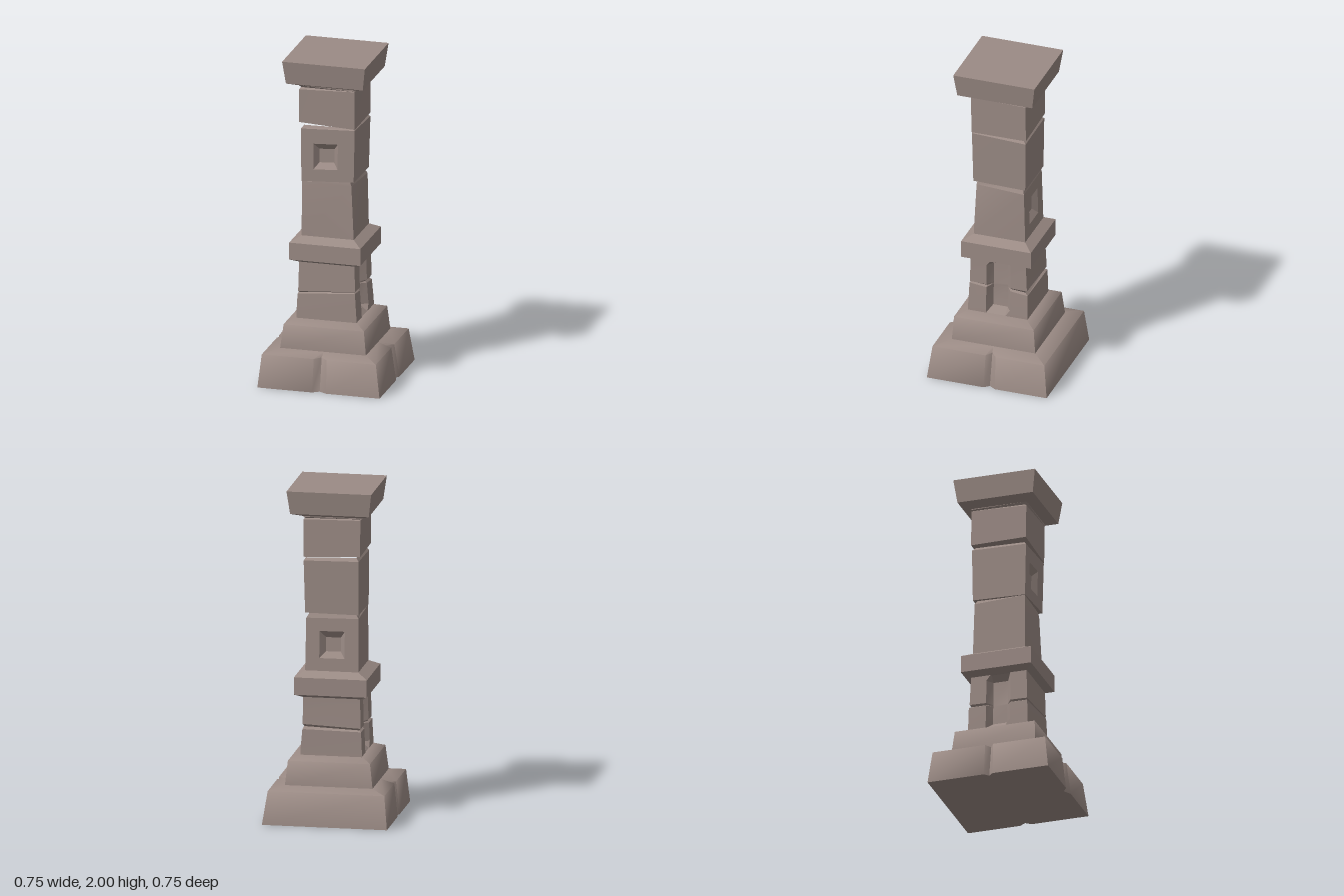
import * as THREE from 'three';
import { toCreasedNormals } from 'three/addons/utils/BufferGeometryUtils.js';

const stone = new THREE.MeshStandardMaterial({ color: 0x9b8b85 });

// Rectangular ring [x0, x1, z0, z1]; y is one height or four (FL, FR, BR, BL)
function rect([x0, x1, z0, z1], y) {
  const h = Array.isArray(y) ? y : [y, y, y, y];
  return [[x0, h[0], z1], [x1, h[1], z1], [x1, h[2], z0], [x0, h[3], z0]];
}

const mix = (a, b, t) => a.map((v, i) => v + (b[i] - v) * t);

// Skins a stack of rings; panels are sunken frames cut into chosen quads
function loft(name, rings, { bottom = false, top = false, panels = [], crease = 0.3 } = {}) {
  const pos = [];
  const tri = (...p) => p.forEach(v => pos.push(...v));
  const quad = (a, b, c, d) => { tri(a, b, c); tri(a, c, d); };
  const band = (o, i) => o.forEach((p, k) => {
    const n = (k + 1) % o.length;
    quad(p, o[n], i[n], i[k]);
  });
  const cap = (ring, up) => {
    const y = ring.reduce((s, p) => s + p[1], 0) / ring.length;
    ring.forEach((p, k) => {
      const q = ring[(k + 1) % ring.length];
      if (up) tri(p, q, [0, y, 0]); else tri(q, p, [0, y, 0]);
    });
  };
  for (let l = 0; l < rings.length - 1; l++) {
    const lo = rings[l], hi = rings[l + 1], n = lo.length;
    for (let k = 0; k < n; k++) {
      const m = (k + 1) % n;
      const panel = panels.find(p => p.level === l && p.side === k);
      if (!panel) { quad(lo[k], lo[m], hi[m], hi[k]); continue; }
      const at = (u, v) => mix(mix(lo[k], lo[m], u), mix(hi[k], hi[m], u), v);
      const square = ([u0, u1, v0, v1]) => [at(u0, v0), at(u1, v0), at(u1, v1), at(u0, v1)];
      const rim = square(panel.outer);
      const floor = square(panel.inner).map(([x, y, z]) => [x, y, z - Math.sign(z) * panel.depth]);
      band([lo[k], lo[m], hi[m], hi[k]], rim);
      band(rim, floor);
      quad(...floor);
    }
  }
  if (bottom) cap(rings[0], false);
  if (top) cap(rings[rings.length - 1], true);
  const g = new THREE.BufferGeometry();
  g.setAttribute('position', new THREE.Float32BufferAttribute(pos, 3));
  const mesh = new THREE.Mesh(toCreasedNormals(g, crease), stone);
  mesh.name = name;
  return mesh;
}

// Plinth outline with a V notch in the front, left and right sides
function plinthRing(y, [x0, x1, z0, z1], w, d) {
  return [
    [x0, y, z1], [-0.04 * w, y, z1], [0, y, z1 - d], [0.047 * w, y, z1],
    [x1, y, z1], [x1, y, 0.02 * w], [x1 - d, y, -0.01 * w], [x1, y, -0.05 * w],
    [x1, y, z0], [x0, y, z0],
    [x0, y, -0.025 * w], [x0 + d, y, 0], [x0, y, 0.03 * w],
  ];
}

// Pedestal outline with a bevelled upright slot in both sides
function slotRing([x0, x1, z0, z1], y, d) {
  const [fl, fr, br, bl] = Array.isArray(y) ? y : [y, y, y, y];
  const r = (fr + br) / 2, l = (fl + bl) / 2;
  return [
    [x0, fl, z1], [x1, fr, z1],
    [x1, r, 0.075], [x1 - d, r, 0.045], [x1 - d, r, -0.045], [x1, r, -0.075],
    [x1, br, z0], [x0, bl, z0],
    [x0, l, -0.075], [x0 + d, l, -0.045], [x0 + d, l, 0.045], [x0, l, 0.075],
  ];
}

export function createModel() {
  const pillar = new THREE.Group();
  pillar.name = 'stonePillar';

  // Notched plinth
  pillar.add(loft('plinth', [
    plinthRing(0, [-0.375, 0.375, -0.375, 0.375], 1, 0.028),
    plinthRing(0.2, [-0.355, 0.345, -0.35, 0.35], 0.9, 0.045),
    plinthRing(0.22, [-0.268, 0.258, -0.262, 0.26], 0, 0),
  ], { bottom: true, crease: 1.25 }));

  // Second step
  pillar.add(loft('step', [
    rect([-0.268, 0.258, -0.262, 0.26], 0.22),
    rect([-0.25, 0.243, -0.247, 0.25], 0.365),
    rect([-0.19, 0.18, -0.18, 0.185], 0.392),
  ], { top: true, crease: 1.25 }));

  // Pedestal: two cracked courses with side slots
  pillar.add(loft('pedestal', [
    slotRing([-0.19, 0.18, -0.185, 0.187], 0.39, 0),
    slotRing([-0.189, 0.178, -0.184, 0.186], 0.43, 0.045),
    slotRing([-0.184, 0.168, -0.182, 0.181], [0.54, 0.57, 0.545, 0.54], 0.045),
    slotRing([-0.172, 0.157, -0.166, 0.17], [0.547, 0.575, 0.56, 0.548], 0.033),
    slotRing([-0.181, 0.168, -0.178, 0.179], [0.555, 0.58, 0.575, 0.56], 0.045),
    slotRing([-0.177, 0.165, -0.172, 0.176], 0.705, 0.045),
    slotRing([-0.176, 0.165, -0.172, 0.175], 0.745, 0),
  ]));

  // Collar band
  pillar.add(loft('collar', [
    rect([-0.176, 0.165, -0.172, 0.175], 0.738),
    rect([-0.225, 0.212, -0.218, 0.218], 0.76),
    rect([-0.225, 0.212, -0.218, 0.218], 0.865),
    rect([-0.165, 0.155, -0.163, 0.16], 0.898),
  ], { bottom: true, top: true }));

  // Lower shaft block, chipped at the top front corner, panel at the back
  const lowerTop = rect([-0.163, 0.15, -0.153, 0.16], [1.235, 1.225, 1.215, 1.22]);
  lowerTop[1][0] = 0.137;
  lowerTop[1][2] = 0.148;
  pillar.add(loft('lowerBlock', [
    rect([-0.165, 0.155, -0.163, 0.16], 0.89),
    lowerTop,
    rect([-0.145, 0.128, -0.138, 0.143], [1.25, 1.25, 1.25, 1.25]),
  ], {
    panels: [{ level: 0, side: 2, outer: [0.26, 0.74, 0.26, 0.76], inner: [0.37, 0.65, 0.37, 0.63], depth: 0.03 }],
  }));

  // Middle shaft block with the front panel
  pillar.add(loft('middleBlock', [
    rect([-0.166, 0.155, -0.163, 0.162], [1.237, 1.255, 1.248, 1.245]),
    rect([-0.167, 0.163, -0.168, 0.168], [1.565, 1.58, 1.565, 1.57]),
    rect([-0.15, 0.147, -0.15, 0.153], [1.585, 1.59, 1.58, 1.59]),
  ], {
    bottom: true,
    panels: [{ level: 0, side: 0, outer: [0.23, 0.69, 0.23, 0.72], inner: [0.32, 0.6, 0.34, 0.6], depth: 0.03 }],
  }));

  // Upper shaft block
  pillar.add(loft('upperBlock', [
    rect([-0.177, 0.164, -0.17, 0.17], [1.605, 1.587, 1.588, 1.6]),
    rect([-0.177, 0.163, -0.168, 0.174], [1.81, 1.822, 1.815, 1.82]),
    rect([-0.166, 0.153, -0.158, 0.163], [1.822, 1.828, 1.822, 1.826]),
    rect([-0.177, 0.163, -0.168, 0.174], [1.835, 1.825, 1.83, 1.83]),
    rect([-0.177, 0.163, -0.168, 0.174], 1.845),
  ], { bottom: true }));

  // Flared cap
  pillar.add(loft('cap', [
    rect([-0.177, 0.163, -0.168, 0.174], 1.835),
    rect([-0.24, 0.232, -0.234, 0.235], 1.86),
    rect([-0.258, 0.25, -0.254, 0.254], 2),
  ], { bottom: true, top: true }));

  return pillar;
}
